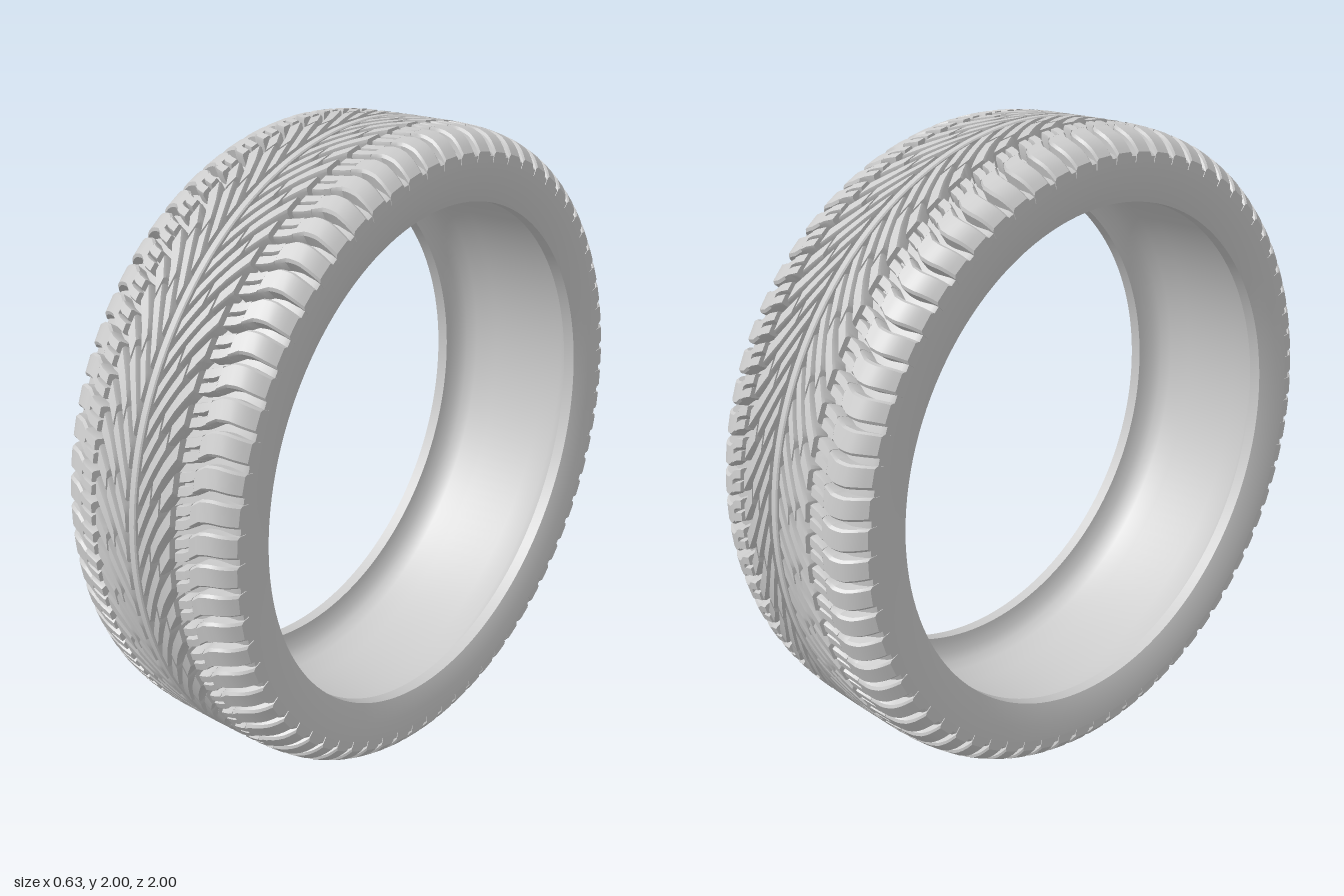
import * as THREE from 'three';
import { mergeGeometries, toCreasedNormals } from 'three/addons/utils/BufferGeometryUtils.js';

const PITCHES = 70;
const STEP = (Math.PI * 2) / PITCHES;
const material = new THREE.MeshStandardMaterial({ color: 0xcccccc });

// piecewise linear lookup in a list of [x, value]
function lookup(table, x) {
  for (let i = 1; i < table.length; i++) {
    const [x0, v0] = table[i - 1], [x1, v1] = table[i];
    if (x <= x1) return v0 + ((v1 - v0) * (x - x0)) / (x1 - x0);
  }
  return table[table.length - 1][1];
}

// tread crown: outer radius against distance from the centre line
const CROWN = [[0, 1], [0.15, 0.999], [0.2, 0.995], [0.24, 0.987], [0.27, 0.975], [0.295, 0.955], [0.313, 0.93]];
// how far the tread pattern sweeps round the tyre, as an angle
const SWEEP = [[0.024, 0], [0.06, 0.09], [0.1, 0.175], [0.14, 0.24], [0.16, 0.25],
  [0.195, 0.262], [0.23, 0.288], [0.26, 0.292], [0.313, 0.284]];

// one rubber block: rounded cross-sections lofted outward from x0 to x1
function block(side, x0, x1, angle, width, stations) {
  const pos = [], index = [];
  const section = [[-0.5, -1], [-0.48, -0.008], [-0.38, 0], [0.38, 0], [0.48, -0.008], [0.5, -1]];
  const n = section.length;
  for (let i = 0; i <= stations; i++) {
    const x = x0 + ((x1 - x0) * i) / stations;
    const top = lookup(CROWN, x);
    const bottom = Math.max(top - 0.05, 0.9);
    for (const [w, drop] of section) {
      const a = angle + lookup(SWEEP, x) + w * width;
      const r = drop === -1 ? bottom : top + drop;
      pos.push(side * x, r * Math.sin(a), r * Math.cos(a));
    }
  }
  const tri = (a, b, c) => (side > 0 ? index.push(a, b, c) : index.push(a, c, b));
  for (let i = 0; i < stations; i++) {
    for (let j = 0; j < n - 1; j++) {
      const a = i * n + j, b = a + n;
      tri(a, b, a + 1);
      tri(b, b + 1, a + 1);
    }
  }
  // end caps
  const last = stations * n;
  for (let j = 1; j < n - 1; j++) {
    tri(0, j, j + 1);
    tri(last, last + j + 1, last + j);
  }
  const g = new THREE.BufferGeometry();
  g.setAttribute('position', new THREE.Float32BufferAttribute(pos, 3));
  g.setIndex(index);
  return g;
}

function addMesh(group, name, geometry, crease = 0.6) {
  const mesh = new THREE.Mesh(toCreasedNormals(geometry, crease), material);
  mesh.name = name;
  group.add(mesh);
}

// profile of [x, radius] turned about the x axis
function ring(profile, segments) {
  const points = profile.map(([x, r]) => new THREE.Vector2(r, x));
  return new THREE.LatheGeometry(points, segments).rotateZ(-Math.PI / 2);
}

export function createModel() {
  const group = new THREE.Group();
  group.name = 'tyre';
  const wheel = new THREE.Group();
  wheel.name = 'tyreBody';
  wheel.position.y = 1;
  group.add(wheel);

  // carcass: groove floor, sidewalls, beads and hollow inside
  const half = [[0.16, 0.956], [0.2, 0.953], [0.26, 0.94], [0.3, 0.927], [0.311, 0.918], [0.311, 0.85],
    [0.288, 0.785], [0.25, 0.785], [0.247, 0.803], [0.235, 0.84], [0.215, 0.865], [0.18, 0.88], [0.1, 0.888]];
  const mirrored = half.map(([x, r]) => [-x, r]).reverse();
  addMesh(wheel, 'carcass', ring([...half, ...mirrored, half[0]], 144), 0.5);

  // narrow rib round the centre line
  addMesh(wheel, 'centreRib', ring([[-0.012, 0.95], [-0.012, 0.996], [-0.009, 1], [0.009, 1], [0.012, 0.996], [0.012, 0.95]], 144));

  for (const side of [1, -1]) {
    const label = side > 0 ? 'left' : 'right';
    const inner = [], shoulder = [], bars = [];
    for (let i = 0; i < PITCHES; i++) {
      const angle = i * STEP;
      // slanted inner blocks, cut at alternating places
      const cut = i % 2 ? 0.068 : 0.1;
      inner.push(block(side, 0.024, cut - 0.003, angle, STEP * 0.68, 5));
      inner.push(block(side, cut + 0.003, 0.141, angle + 0.006, STEP * 0.68, 5));
      // wavy shoulder blocks, with a sipe on the inner part
      shoulder.push(block(side, 0.205, 0.313, angle, STEP * 0.78, 9));
      for (const k of [-1, 1]) {
        bars.push(block(side, 0.16, 0.206, angle + k * STEP * 0.21, STEP * 0.36, 3));
      }
    }
    addMesh(wheel, label + 'InnerTread', mergeGeometries(inner));
    addMesh(wheel, label + 'ShoulderTread', mergeGeometries(shoulder));
    addMesh(wheel, label + 'SipedTread', mergeGeometries(bars));
  }
  return group;
}
